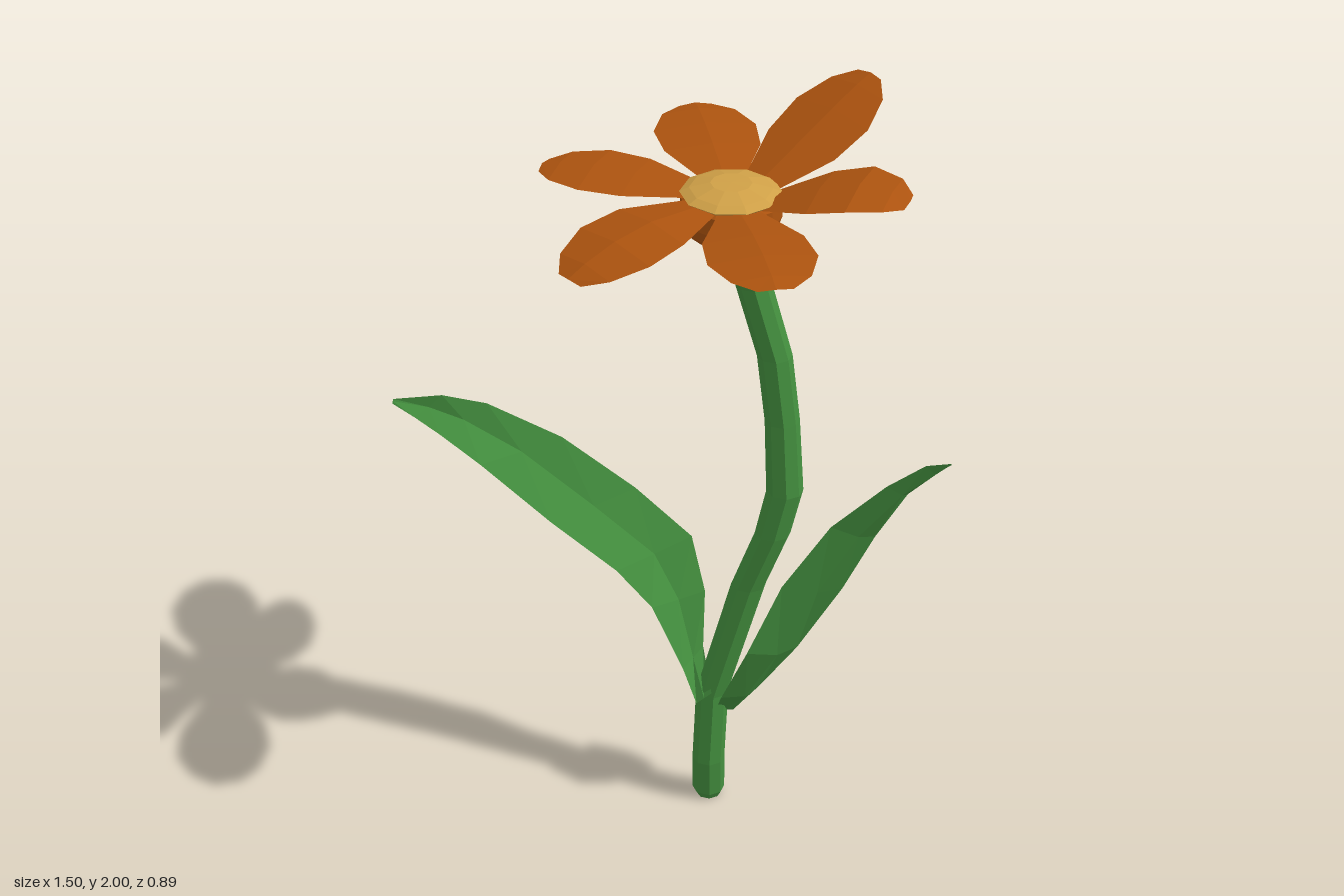
import * as THREE from 'three';

const flat = (name, color) => {
  const m = new THREE.MeshStandardMaterial({ color, flatShading: true, side: THREE.DoubleSide });
  m.name = name;
  return m;
};

// Skin a grid of points: rows run along the part, columns across it
function loft(rows) {
  const n = rows[0].length, index = [];
  for (let i = 0; i < rows.length - 1; i++)
    for (let j = 0; j < n - 1; j++) {
      const a = i * n + j, b = a + n;
      index.push(a, b, a + 1, b, b + 1, a + 1);
    }
  const g = new THREE.BufferGeometry();
  g.setAttribute('position', new THREE.Float32BufferAttribute(rows.flat(2), 3));
  g.setIndex(index);
  return facet(g);
}

function facet(g) {
  const f = g.toNonIndexed();
  f.computeVertexNormals();
  return f;
}

// Leaf from pairs of edge points, with the middle sagging to form a shallow trough
function leafGeometry(stations, sag) {
  return loft(stations.map(([u, l], i) => {
    const k = i === 0 || i === stations.length - 1 ? 0 : 1;
    return [u, u.map((v, c) => (v + l[c]) / 2 + sag[c] * k), l];
  }));
}

// Petal radiating from the flower centre; heights run from base to tip
function petalGeometry(degrees, length, halfWidth, heights) {
  const a = THREE.MathUtils.degToRad(degrees), c = Math.cos(a), s = Math.sin(a);
  const along = [0.2, 0.5, 0.72, 0.9, 1], wide = [0.42, 0.93, 1, 0.72, 0.32];
  return loft(along.map((t, i) => [-1, 0, 1].map(side => {
    const r = length * t * (side && i === 4 ? 0.99 : 1), w = side * wide[i] * halfWidth;
    const arch = (side ? -0.008 : 0.006) * wide[i];
    return [0.19 + c * r + s * w, heights[i] + arch, s * r - c * w];
  })));
}

export function createModel() {
  const group = new THREE.Group();
  const green = flat('leafGreen', 0x44903f);
  const orange = flat('petalOrange', 0xac530f);
  const yellow = flat('centreYellow', 0xcfa047);
  const add = (name, geometry, material) => {
    const m = new THREE.Mesh(geometry, material);
    m.name = name;
    group.add(m);
    return m;
  };

  // Stem: eight-sided rings [x, y, z, radius], closed at both ends
  const rings = [
    [0.15, 0, -0.01, 0], [0.15, 0, -0.01, 0.033], [0.15, 0.02, -0.01, 0.043],
    [0.152, 0.13, 0, 0.043], [0.157, 0.35, -0.01, 0.043], [0.245, 0.7, -0.03, 0.045],
    [0.305, 0.87, -0.035, 0.046], [0.332, 1.0, -0.04, 0.047], [0.318, 1.2, -0.047, 0.044],
    [0.293, 1.38, -0.05, 0.044], [0.235, 1.57, -0.048, 0.045], [0.198, 1.7, -0.015, 0.045],
    [0.195, 1.74, -0.005, 0],
  ];
  add('stem', loft(rings.map(([x, y, z, r]) => Array.from({ length: 9 }, (_, j) => {
    const a = (j / 8 + 1 / 16) * Math.PI * 2;
    return [x + r * Math.cos(a), y, z + r * Math.sin(a)];
  }))), green);

  // Leaves
  add('rightLeaf', leafGeometry([
    [[0.17, 0.37, 0.035], [0.13, 0.33, 0.04]],
    [[0.12, 0.46, -0.04], [0.09, 0.43, 0.035]],
    [[0.11, 0.61, -0.08], [0, 0.6, 0.025]],
    [[0.06, 0.75, -0.115], [-0.1, 0.69, 0.02]],
    [[-0.1, 0.86, -0.125], [-0.28, 0.8, 0.02]],
    [[-0.3, 0.98, -0.115], [-0.48, 0.93, 0.01]],
    [[-0.5, 1.055, -0.092], [-0.6, 0.985, -0.01]],
    [[-0.62, 1.065, -0.075], [-0.68, 1.01, -0.03]],
    [[-0.75, 1.04, -0.052], [-0.75, 1.03, -0.045]],
  ], [-0.004, -0.01, -0.012]), green);
  add('leftLeaf', leafGeometry([
    [[0.17, 0.29, 0], [0.21, 0.28, -0.03]],
    [[0.2, 0.37, 0.045], [0.275, 0.36, -0.055]],
    [[0.28, 0.56, 0.083], [0.37, 0.5, -0.068]],
    [[0.36, 0.77, 0.055], [0.48, 0.7, -0.088]],
    [[0.47, 0.95, 0.012], [0.56, 0.88, -0.087]],
    [[0.6, 1.08, -0.02], [0.64, 1.03, -0.08]],
    [[0.69, 1.145, -0.045], [0.705, 1.11, -0.072]],
    [[0.75, 1.155, -0.06], [0.75, 1.15, -0.062]],
  ], [0.014, -0.012, 0]), green);

  // Cup under the petals and domed flower centre
  const lathe = (name, profile, material) => {
    const g = new THREE.LatheGeometry(profile.map(p => new THREE.Vector2(...p)), 10);
    add(name, facet(g), material).position.set(0.19, 0, 0);
  };
  lathe('flowerCup', [[0, 1.69], [0.055, 1.69], [0.112, 1.74], [0.123, 1.77], [0.12, 1.815], [0.1, 1.828]], orange);
  lathe('flowerCentre', [[0.1, 1.815], [0.123, 1.832], [0.1, 1.843], [0.05, 1.856], [0, 1.857]], yellow);

  // Petals: angle, length, half width, heights
  [
    ['leftPetal', 0, 0.435, 0.126, [1.825, 1.875, 1.9, 1.895, 1.88]],
    ['frontLeftPetal', 60, 0.495, 0.128, [1.825, 1.84, 1.845, 1.842, 1.835]],
    ['frontRightPetal', 120, 0.495, 0.125, [1.825, 1.83, 1.815, 1.79, 1.77]],
    ['rightPetal', 180, 0.48, 0.113, [1.825, 1.837, 1.84, 1.834, 1.825]],
    ['backRightPetal', 241, 0.49, 0.128, [1.825, 1.837, 1.84, 1.84, 1.835]],
    ['backLeftPetal', 299, 0.455, 0.122, [1.825, 1.89, 1.94, 1.98, 2.0]],
  ].forEach(([name, ...spec]) => add(name, petalGeometry(...spec), orange));

  return group;
}
